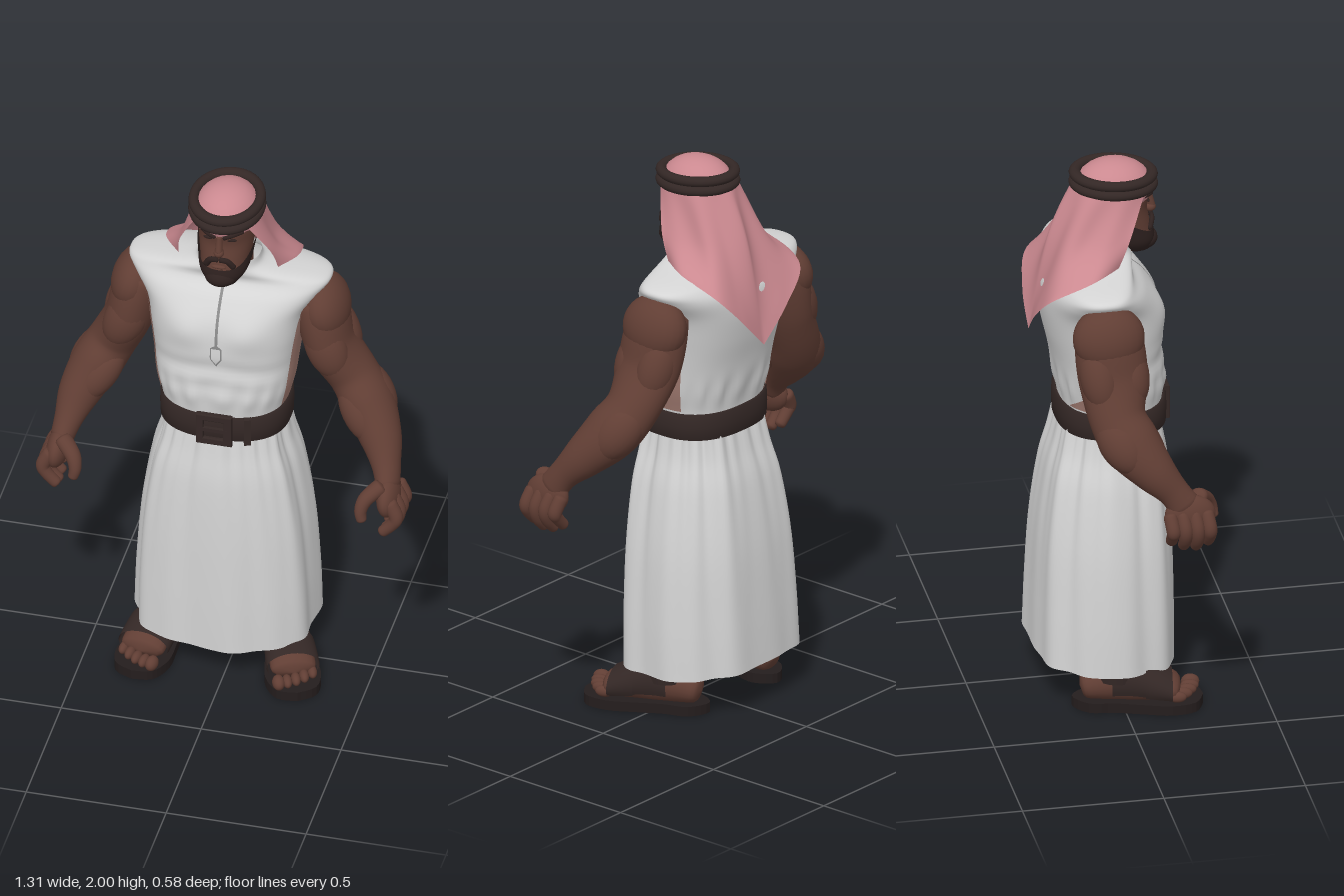
import * as THREE from 'three';

const material = (name, color, double) => {
  const m = new THREE.MeshStandardMaterial({ color });
  m.name = name;
  if (double) m.side = THREE.DoubleSide;
  return m;
};

// Surface from a rule fn(u, v) -> Vector3; wrap joins the two u ends smoothly
function grid(fn, nu, nv, wrap) {
  const pos = [], index = [], cols = wrap ? nu : nu + 1;
  for (let j = 0; j <= nv; j++)
    for (let i = 0; i < cols; i++) pos.push(...fn(i / nu, j / nv).toArray());
  for (let j = 0; j < nv; j++)
    for (let i = 0; i < nu; i++) {
      const k = (i + 1) % cols, a = j * cols + i, b = j * cols + k;
      index.push(a, b, b + cols, a, b + cols, a + cols);
    }
  const g = new THREE.BufferGeometry();
  g.setAttribute('position', new THREE.Float32BufferAttribute(pos, 3));
  g.setIndex(index);
  g.computeVertexNormals();
  return g;
}

// Smooth interpolation between rows of numbers, t in 0..1
function sample(rows, t) {
  const n = rows.length - 1, f = Math.min(Math.max(t, 0), 1) * n, i = Math.min(Math.floor(f), n - 1), k = f - i;
  const at = (j) => rows[Math.min(Math.max(j, 0), n)];
  return rows[0].map((_, c) => {
    const [a, b, d, e] = [at(i - 1)[c], at(i)[c], at(i + 1)[c], at(i + 2)[c]];
    return b + 0.5 * k * (d - a + k * (2 * a - 5 * b + 4 * d - e + k * (3 * (b - d) + e - a)));
  });
}

// Point on a rounded cross-section [y, centreX, halfWidth, frontZ, backZ]; angle 0 is the front
function ring([y, cx, hw, zf, zb], a, n = 2.4, grow = 0) {
  const p = (v) => Math.sign(v) * Math.abs(v) ** (2 / n);
  return new THREE.Vector3(cx + (hw + grow) * p(Math.sin(a)), y, (zf + zb) / 2 + ((zf - zb) / 2 + grow) * p(Math.cos(a)));
}

// Round-ended limb through rows [x, y, z, radius along ref, radius across]
function limb(rows, ref, seg = 20, steps = 28, cap = 0.1) {
  return grid((u, v) => {
    const r = sample(rows, v), c = new THREE.Vector3(...r);
    const T = new THREE.Vector3(...sample(rows, v + 0.01)).sub(new THREE.Vector3(...sample(rows, v - 0.01))).normalize();
    const N = ref.clone().addScaledVector(T, -ref.dot(T)).normalize(), B = T.clone().cross(N);
    const e = Math.min(1, Math.min(v, 1 - v) / cap), k = Math.max(0.01, Math.sqrt(1 - (1 - e) ** 2));
    return c.addScaledVector(N, Math.cos(u * 2 * Math.PI) * r[3] * k).addScaledVector(B, Math.sin(u * 2 * Math.PI) * r[4] * k);
  }, seg, steps, true);
}

export function createModel() {
  const model = new THREE.Group();
  const cloth = material('white cloth', 0xd4d4d4, true), trim = material('grey seam', 0x8a8a8a, true);
  const pink = material('pink scarf', 0xcb8990, true), skin = material('brown skin', 0x613e34);
  const leather = material('dark leather', 0x332725, true), rubber = material('sole', 0x241d1d, true);
  const hair = material('dark hair', 0x2e211f, true), panel = material('side panel', 0xa07a70, true);
  const Y = new THREE.Vector3(0, 1, 0), Z = new THREE.Vector3(0, 0, 1);
  const add = (name, geo, mat, parent = model) => {
    const m = new THREE.Mesh(geo, mat);
    m.name = name;
    parent.add(m);
    return m;
  };
  const blob = (name, mat, p, s, parent = model, rz = 0, rx = 0) => {
    const m = add(name, new THREE.SphereGeometry(1, 24, 16), mat, parent);
    m.position.set(...p);
    m.scale.set(...s);
    m.rotation.set(rx, 0, rz);
    return m;
  };

  // Sleeveless shirt with chest and waist folds
  const torsoRows = [
    [1.04, -0.035, 0.21, 0.165, -0.175], [1.12, -0.035, 0.22, 0.175, -0.18], [1.2, -0.035, 0.238, 0.183, -0.195],
    [1.3, -0.035, 0.25, 0.173, -0.212], [1.4, -0.035, 0.264, 0.175, -0.235], [1.5, -0.035, 0.285, 0.155, -0.25],
    [1.57, -0.035, 0.335, 0.112, -0.243], [1.61, -0.035, 0.36, 0.07, -0.215], [1.632, -0.035, 0.32, 0.06, -0.185],
    [1.658, -0.03, 0.19, 0.068, -0.135], [1.68, -0.025, 0.122, 0.072, -0.11], [1.712, -0.025, 0.11, 0.07, -0.1]];
  const torso = (a, t, grow = 0) => {
    const p = ring(sample(torsoRows, t), a, 2.5, grow), x = p.x + 0.035, front = Math.max(0, Math.cos(a));
    const pec = Math.exp(-(((Math.abs(x) - 0.11) / 0.08) ** 2) - ((p.y - 1.46) / 0.06) ** 2);
    const waist = Math.exp(-(((p.y - 1.19) / 0.05) ** 2));
    const crease = Math.sin(p.y * 70 + 9 * Math.abs(x)) * Math.exp(-(((p.y - 1.28) / 0.08) ** 2));
    p.z += 0.016 * pec * Math.sqrt(front) + 0.004 * crease * front + 0.007 * waist * Math.sin(a * 17) * Math.cos(a);
    return p;
  };
  add('shirt', grid((u, v) => torso(u * 2 * Math.PI, v), 88, 66, true), cloth);

  // Side panels under the arms, reaching back along the belt on the right
  for (const s of [-1, 1])
    add('shirtSidePanel', grid((u, v) => {
      const back = s < 0 ? 0.46 + 0.6 * Math.max(0, 1 - 5 * v) : 0.36;
      return torso(s * (Math.PI / 2 - 0.34 + (0.34 + back) * u), 0.1 + 0.42 * v, 0.004);
    }, 14, 24), panel);

  // Neck seam ending in a pointed tab
  const placket = (width, low, high, lift) => grid((u, v) => {
    const p = torso(0, low + (high - low) * v, lift);
    p.x = -0.028 + (u - 0.5) * width(v);
    p.z += lift;
    return p;
  }, 2, 60);
  add('placketSeam', placket((v) => (v < 0.12 ? 0.042 * Math.min(1, v * 20 + 0.03) : 0.01), 0.3, 0.9, 0.002), trim);
  add('placketTab', placket((v) => 0.033 * Math.min(1, v * 2.5 + 0.03), 0.31, 0.37, 0.0035), cloth);

  // Long skirt, gathered at the waist, folds widening to the hem
  const skirtRows = [
    [0.15, -0.037, 0.322, 0.218, -0.287], [0.35, -0.036, 0.316, 0.218, -0.28], [0.6, -0.035, 0.298, 0.213, -0.265],
    [0.82, -0.034, 0.263, 0.2, -0.235], [0.95, -0.032, 0.227, 0.178, -0.202], [1.06, -0.03, 0.207, 0.16, -0.178]];
  add('skirt', grid((u, v) => {
    const a = u * 2 * Math.PI;
    const fold = 0.007 * Math.sin(7 * a + 0.6 + v) + 0.004 * Math.sin(12 * a + 2 * v) + 0.006 * v * v * Math.sin(26 * a);
    const p = ring(sample(skirtRows, v), a, 2.5, fold - 0.002);
    p.y -= 0.018 * Math.cos(a) * (1 - v) ** 3;
    return p;
  }, 128, 40, true), cloth);

  // Belt, buckle and keeper
  const beltRows = [[1.025, 0.214, 0.01], [1.025, 0.228, 0.022], [1.07, 0.23, 0.024], [1.118, 0.228, 0.022], [1.118, 0.214, 0.01]];
  add('belt', grid((u, v) => {
    const [y, hw, g] = beltRows[Math.round(v * 4)];
    return ring([y, -0.032, hw, 0.168 + g, -0.172 - g], u * 2 * Math.PI, 2.5);
  }, 72, 4, true), leather);
  const frame = new THREE.Shape([[-0.06, -0.058], [0.06, -0.058], [0.06, 0.058], [-0.06, 0.058]].map((p) => new THREE.Vector2(...p)));
  frame.holes.push(new THREE.Path([[-0.042, -0.04], [-0.042, 0.04], [0.036, 0.04], [0.036, -0.04]].map((p) => new THREE.Vector2(...p))));
  add('buckle', new THREE.ExtrudeGeometry(frame, { depth: 0.014, bevelSize: 0.004, bevelThickness: 0.004, bevelSegments: 2 }), leather).position.set(-0.03, 1.07, 0.185);
  add('buckleTongue', new THREE.BoxGeometry(0.1, 0.014, 0.014), leather).position.set(-0.03, 1.07, 0.197);
  const keeper = add('beltKeeper', new THREE.BoxGeometry(0.025, 0.108, 0.02), leather);
  keeper.position.set(0.085, 1.07, 0.178);
  keeper.rotation.y = 0.3;

  // Head, neck and face
  const headRows = [[1.66, -0.025, 0.05, 0.14, 0.03], [1.7, -0.025, 0.078, 0.152, -0.03], [1.76, -0.025, 0.09, 0.142, -0.07],
    [1.82, -0.025, 0.098, 0.132, -0.09], [1.88, -0.025, 0.103, 0.14, -0.11], [1.95, -0.027, 0.1, 0.125, -0.1]];
  add('head', grid((u, v) => ring(sample(headRows, v), u * 2 * Math.PI, 2.2), 40, 24, true), skin);
  add('neck', new THREE.CylinderGeometry(0.08, 0.08, 0.16, 28), skin).position.set(-0.025, 1.69, -0.02);
  add('beard', grid((u, v) => {
    const a = (u - 0.5) * 3.4;
    return ring(sample(headRows, v * (0.31 + 0.34 * Math.abs(a / 1.7) ** 3)), a, 2.2, 0.007);
  }, 32, 12), hair);
  blob('chinBeard', hair, [-0.025, 1.688, 0.115], [0.058, 0.04, 0.056]);
  blob('lowerLip', skin, [-0.025, 1.742, 0.148], [0.026, 0.007, 0.009]);
  blob('nose', skin, [-0.025, 1.802, 0.146], [0.018, 0.017, 0.02]);
  add('noseBridge', limb([[-0.025, 1.87, 0.137, 0.014, 0.011], [-0.025, 1.84, 0.142, 0.014, 0.012], [-0.025, 1.8, 0.152, 0.014, 0.014]], Z, 12, 12), skin);
  for (const s of [-1, 1]) {
    const side = (x) => -0.025 + s * x;
    add('moustache', limb([[side(0), 1.773, 0.15, 0.008, 0.01], [side(0.03), 1.768, 0.146, 0.009, 0.011], [side(0.05), 1.735, 0.133, 0.01, 0.012]], Z, 10, 12), hair);
    add('eyebrow', limb([[side(0.012), 1.862, 0.142, 0.008, 0.008], [side(0.045), 1.877, 0.136, 0.01, 0.009], [side(0.08), 1.878, 0.104, 0.007, 0.006]], Z, 10, 12), hair);
    blob('eye', hair, [side(0.042), 1.85, 0.129], [0.018, 0.006, 0.006], model, s * 0.15);
    blob('ear', skin, [side(0.1), 1.83, 0.01], [0.014, 0.035, 0.025]);
  }

  // Headscarf: crown and draped cloth pointed at the back, wider over the right shoulder
  blob('scarfCrown', pink, [-0.028, 1.9, 0.015], [0.116, 0.1, 0.137]);
  const middle = [[0, 1.72, -0.205], [0.085, 1.73, -0.19], [0.145, 1.74, -0.135], [0.172, 1.74, -0.05], [0.16, 1.765, 0.045]];
  const hem = [[0, 1.37, -0.285], [0.12, 1.48, -0.285], [0.235, 1.585, -0.25], [0.25, 1.648, -0.11], [0.178, 1.665, 0.0]];
  add('scarfDrape', grid((u, v) => {
    const s = 1 - 2 * u, w = Math.abs(s), sign = Math.sign(s), d = 1 - v;
    const top = [0.118 * Math.sin(w * 2.4), 1.925, 0.015 - 0.139 * Math.cos(w * 2.4)];
    const p = sample([top, sample(middle, w), sample(hem, w)], d);
    const f = 0.012 * Math.sin(Math.PI * Math.min(1, d * 1.1)) * Math.sin(s * 15 + 1);
    const wide = s > 0 ? 1 - 0.14 * d * Math.sin(Math.PI * w) : 1;
    return new THREE.Vector3(-0.028 + sign * (p[0] * wide + f * Math.min(1, w * 2) * (1 - w * w)), p[1], p[2] - f * (1 - w));
  }, 64, 28), pink);

  // Two head cords
  for (const [y, r] of [[1.913, 0.116], [1.948, 0.115]]) {
    const cord = add('headCord', new THREE.TorusGeometry(r, 0.018, 12, 56), leather);
    cord.rotation.x = Math.PI / 2 + 0.05;
    cord.scale.y = 1.17;
    cord.position.set(-0.028, y, 0.015);
  }

  for (const s of [-1, 1]) {
    // Muscular arm
    const arm = new THREE.Group();
    arm.name = s > 0 ? 'leftArm' : 'rightArm';
    model.add(arm);
    const px = (x, y) => s * x - 0.035 * Math.min(1, Math.max(0, (y - 0.95) / 0.4));
    const place = (rows) => rows.map(([x, y, ...r]) => [px(x, y), y, ...r]);
    const part = (name, rows) => add(name, limb(place(rows), Z, 18, 28), skin, arm);
    const muscle = (name, [x, y, z], size, rz, rx) => blob(name, skin, [px(x, y), y, z], size, arm, s * rz, rx);
    add('armCore', limb(place([[0.29, 1.55, -0.07, 0.1, 0.075], [0.328, 1.45, -0.065, 0.122, 0.09], [0.362, 1.33, -0.058, 0.122, 0.086],
      [0.428, 1.215, -0.055, 0.1, 0.086], [0.485, 1.13, -0.015, 0.102, 0.09], [0.538, 1.04, 0.055, 0.077, 0.074],
      [0.568, 0.965, 0.12, 0.055, 0.05], [0.585, 0.9, 0.165, 0.06, 0.04]]), Z, 28, 48, 0.05), skin, arm);
    muscle('deltoid', [0.34, 1.485, -0.07], [0.082, 0.115, 0.127], 0.25, 0);
    muscle('biceps', [0.358, 1.35, 0.0], [0.074, 0.12, 0.068], 0.4, -0.1);
    muscle('triceps', [0.375, 1.36, -0.11], [0.073, 0.13, 0.07], 0.4, -0.1);
    muscle('outerForearm', [0.495, 1.145, -0.05], [0.075, 0.12, 0.082], 0.55, -0.5);
    muscle('innerForearm', [0.465, 1.12, 0.03], [0.065, 0.12, 0.065], 0.55, -0.5);

    // Hand with curled fingers
    muscle('palm', [0.59, 0.885, 0.175], [0.04, 0.07, 0.09], 0.1, 0.1);
    for (let i = 0; i < 4; i++) {
      const z = 0.1 + i * 0.043, d = [0.025, 0.005, 0, 0.015][i];
      part('finger', [[0.6, 0.9, z, 0.024, 0.026], [0.63, 0.845, z + 0.008, 0.025, 0.025],
        [0.618, 0.795 + d, z + 0.01, 0.023, 0.022], [0.575, 0.75 + d, z + 0.01, 0.02, 0.02]]);
    }
    part('thumb', [[0.575, 0.945, 0.2, 0.035, 0.03], [0.525, 0.905, 0.24, 0.03, 0.027], [0.51, 0.865, 0.262, 0.025, 0.022], [0.518, 0.825, 0.272, 0.018, 0.017]]);

    // Lower leg, foot and sandal
    const foot = new THREE.Group();
    foot.name = s > 0 ? 'leftFoot' : 'rightFoot';
    foot.position.set(s > 0 ? 0.2 : -0.27, 0, 0.052);
    foot.rotation.y = s > 0 ? 0.38 : -0.16;
    model.add(foot);
    const half = [[0, 0.228], [0.07, 0.202], [0.098, 0.12], [0.085, 0.02], [0.068, -0.08], [0.065, -0.17], [0, -0.228]];
    const outline = [...half, ...half.slice(1, -1).reverse().map(([x, z]) => [-x, z])].map((p) => new THREE.Vector2(...p));
    const soleShape = new THREE.Shape(new THREE.SplineCurve([...outline, outline[0]]).getPoints(48).slice(0, -1));
    const sole = new THREE.ExtrudeGeometry(soleShape, { depth: 0.036, bevelEnabled: false });
    add('sandalSole', sole.rotateX(Math.PI / 2).translate(0, 0.036, 0), rubber, foot);
    const footRows = [[0, 0.075, -0.2, 0.045, 0.05], [0, 0.09, -0.12, 0.065, 0.06], [0, 0.1, -0.03, 0.078, 0.067],
      [0, 0.085, 0.06, 0.06, 0.078], [0, 0.064, 0.15, 0.034, 0.08]];
    add('foot', limb(footRows, Y), skin, foot);
    const strap = (name, t0, t1, lift) => add(name, grid((u, v) => {
      const [, y, z, ry, rx] = sample(footRows, t0 + (t1 - t0) * v), a = (u - 0.5) * 4;
      return new THREE.Vector3(-Math.sin(a) * (rx + lift), y + Math.cos(a) * (ry + lift), z);
    }, 24, 8), leather, foot);
    strap('instepStrap', 0.34, 0.7, 0.008);
    strap('toeStrap', 0.66, 0.9, 0.013);
    for (let i = 0; i < 5; i++) {
      const big = i === 0 ? 1.3 : 1;
      blob('toe', skin, [s * (-0.06 + i * 0.031), 0.055, 0.185 - i * i * 0.003], [0.017 * big, 0.02 * big, 0.032], foot);
    }
    add('lowerLeg', new THREE.CylinderGeometry(0.075, 0.06, 0.34, 24), skin, foot).position.set(0, 0.27, -0.075);
    add('ankleCuff', new THREE.CylinderGeometry(0.084, 0.077, 0.16, 28), leather, foot).position.set(0, 0.19, -0.07);
  }
  return model;
}
